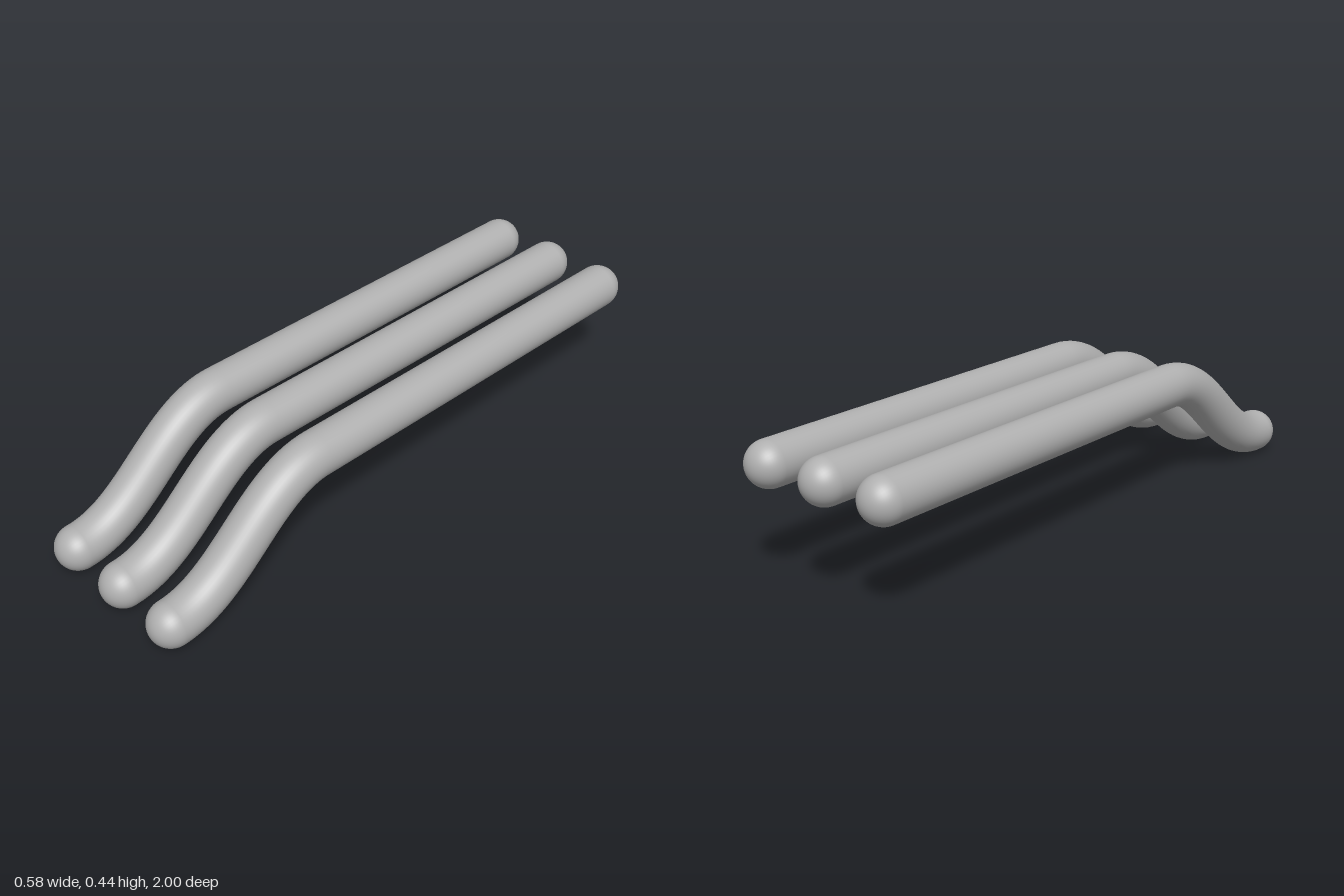
import * as THREE from 'three';

const RADIUS = 0.0715;
const END_Z = 1 - RADIUS;
const HIGH_Y = 0.365;
const LOW_Y = RADIUS;

// Centre line: straight run from the back, then an S-bend down to the front
function rodPath() {
  const bendZ = 0.37;
  const handle = (END_Z - bendZ) * 0.4;
  const path = new THREE.CurvePath();
  path.add(new THREE.LineCurve3(
    new THREE.Vector3(0, HIGH_Y, -END_Z),
    new THREE.Vector3(0, HIGH_Y, bendZ)));
  path.add(new THREE.CubicBezierCurve3(
    new THREE.Vector3(0, HIGH_Y, bendZ),
    new THREE.Vector3(0, HIGH_Y, bendZ + handle),
    new THREE.Vector3(0, LOW_Y, END_Z - handle),
    new THREE.Vector3(0, LOW_Y, END_Z)));
  return path;
}

export function createModel() {
  const model = new THREE.Group();
  model.name = 'bentRods';

  const grey = new THREE.MeshStandardMaterial({ color: 0xb0b0b0 });
  grey.name = 'grey';

  const tube = new THREE.TubeGeometry(rodPath(), 96, RADIUS, 40, false);
  // Domed end, facing +z
  const dome = new THREE.SphereGeometry(RADIUS, 40, 14, 0, Math.PI * 2, 0, Math.PI / 2);
  dome.rotateX(Math.PI / 2);

  ['rightRod', 'middleRod', 'leftRod'].forEach((name, i) => {
    const rod = new THREE.Group();
    rod.name = name;
    rod.position.x = (i - 1) * 0.22;

    const shaft = new THREE.Mesh(tube, grey);
    shaft.name = 'shaft';

    const frontEnd = new THREE.Mesh(dome, grey);
    frontEnd.name = 'frontEnd';
    frontEnd.position.set(0, LOW_Y, END_Z);

    const backEnd = new THREE.Mesh(dome, grey);
    backEnd.name = 'backEnd';
    backEnd.position.set(0, HIGH_Y, -END_Z);
    backEnd.rotation.y = Math.PI;

    rod.add(shaft, frontEnd, backEnd);
    model.add(rod);
  });

  return model;
}
